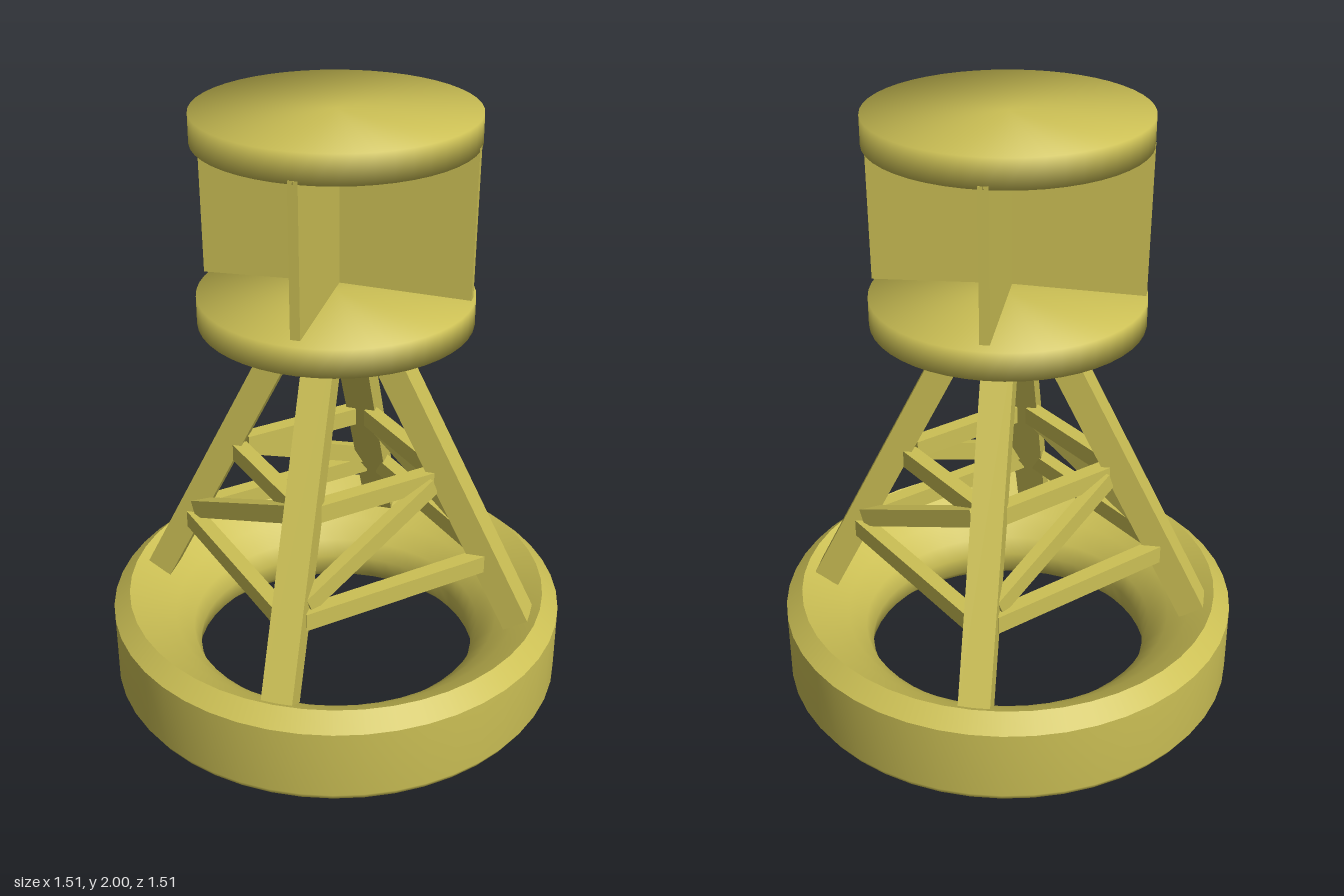
import * as THREE from 'three';

const paint = new THREE.MeshStandardMaterial({ color: 0xccc055 });
const SIDES = 48;

function part(name, geometry, material = paint) {
  const mesh = new THREE.Mesh(geometry, material);
  mesh.name = name;
  return mesh;
}

// Square bar running between two points
function beam(name, a, b, width, depth) {
  const from = new THREE.Vector3(...a), to = new THREE.Vector3(...b);
  const mesh = part(name, new THREE.BoxGeometry(width, depth, from.distanceTo(to)));
  mesh.position.copy(from).add(to).multiplyScalar(0.5);
  mesh.lookAt(to);
  return mesh;
}

// Lathe from [radius, height] pairs
function lathe(name, pairs) {
  return part(name, new THREE.LatheGeometry(pairs.map(p => new THREE.Vector2(...p)), SIDES));
}

// Flat disc whose normals blend softly from the face over the rim
function softDisc(name, radius, bottom, top) {
  const geometry = new THREE.CylinderGeometry(radius, radius, top - bottom, SIDES);
  const { position, normal } = geometry.attributes;
  const n = new THREE.Vector3();
  for (let i = 0; i < position.count; i++) {
    n.set(position.getX(i) / radius, Math.sign(position.getY(i)), position.getZ(i) / radius).normalize();
    normal.setXYZ(i, n.x, n.y, n.z);
  }
  const mesh = part(name, geometry);
  mesh.position.y = (bottom + top) / 2;
  return mesh;
}

export function createModel() {
  const model = new THREE.Group();
  model.name = 'buoy';

  // Floating ring: dished inside, rounded below, crisp chamfer on the top edge
  const ring = new THREE.Group();
  ring.name = 'floatRing';
  ring.add(
    lathe('ringChamfer', [[0.755, 0.315], [0.70, 0.365]]),
    lathe('ringBody', [
      [0.70, 0.365], [0.62, 0.315], [0.55, 0.26], [0.49, 0.20], [0.468, 0.14], [0.478, 0.07],
      [0.53, 0.02], [0.62, 0], [0.70, 0.02], [0.74, 0.055], [0.755, 0.08], [0.755, 0.315],
    ])
  );
  model.add(ring);

  // Tower: four leaning legs, with two rails and one diagonal brace on each side
  const tower = new THREE.Group();
  tower.name = 'tower';
  for (let i = 0; i < 4; i++) {
    const corner = new THREE.Group();
    corner.name = 'towerLeg';
    corner.add(beam('leg', [0, 0.32, 0.63], [0, 1.37, 0.105], 0.1, 0.09));
    corner.rotation.y = Math.PI / 4 + i * Math.PI / 2;

    const side = new THREE.Group();
    side.name = 'towerSide';
    side.add(
      beam('lowerRail', [-0.327, 0.545, 0.375], [0.327, 0.545, 0.375], 0.05, 0.06),
      beam('upperRail', [-0.205, 0.83, 0.25], [0.205, 0.83, 0.25], 0.05, 0.06),
      beam('diagonalBrace', [-0.31, 0.59, 0.365], [0.2, 0.815, 0.265], 0.04, 0.06)
    );
    side.rotation.y = i * Math.PI / 2;
    tower.add(corner, side);
  }
  model.add(tower);

  // Top mark: two discs with crossed vanes between them
  model.add(softDisc('lowerDisc', 0.43, 1.34, 1.43), softDisc('upperDisc', 0.43, 1.91, 2));

  const outline = new THREE.Shape();
  outline.moveTo(-0.43, 1.92);
  outline.lineTo(-0.425, 1.45);
  outline.lineTo(0, 1.463);
  outline.lineTo(0.425, 1.45);
  outline.lineTo(0.43, 1.92);
  const vaneGeometry = new THREE.ExtrudeGeometry(outline, { depth: 0.03, bevelEnabled: false });
  vaneGeometry.translate(0, 0, -0.015);
  for (const turn of [1, -1]) {
    const vane = part('vane', vaneGeometry);
    vane.rotation.y = turn * Math.PI / 4;
    model.add(vane);
  }

  return model;
}
